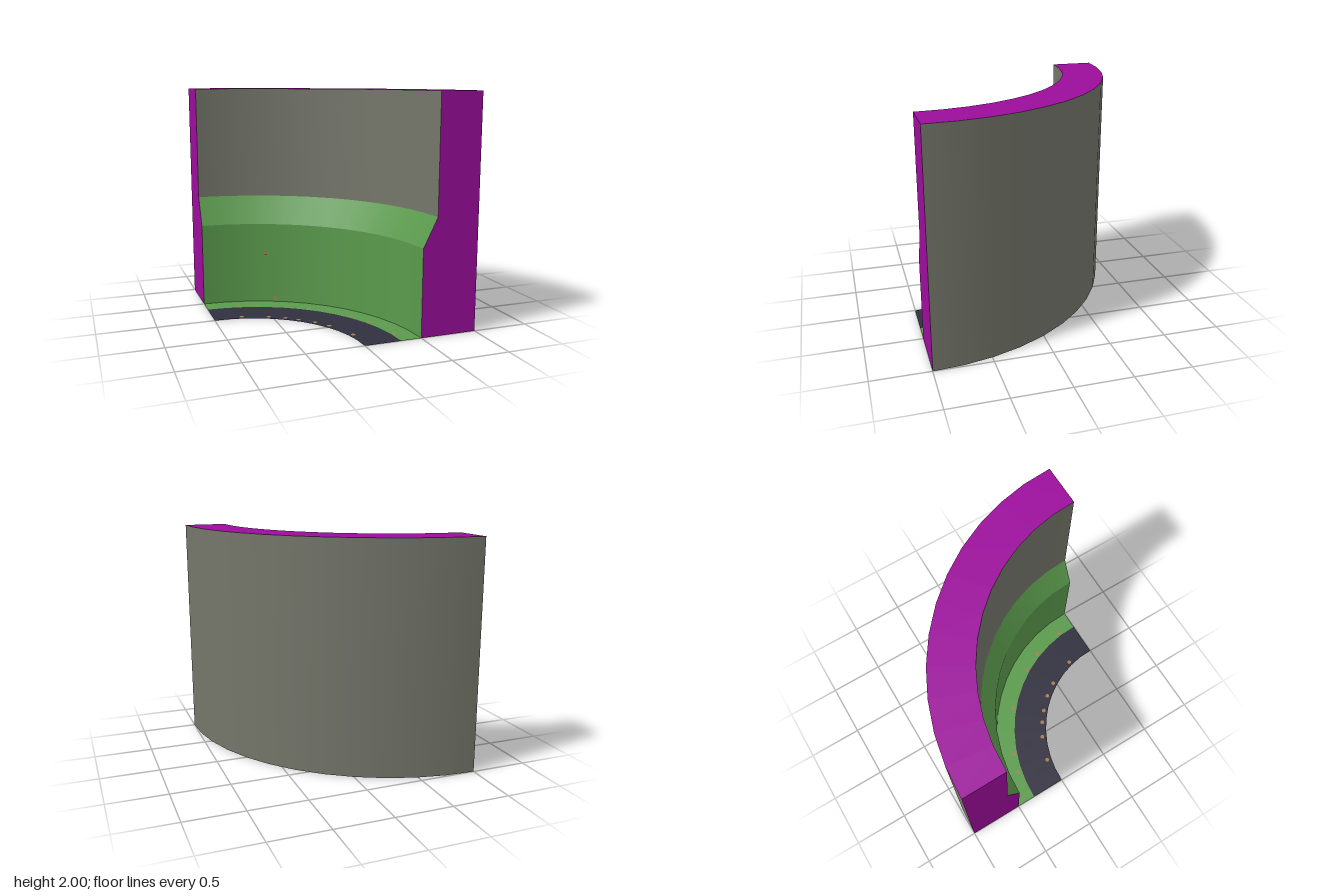
import * as THREE from 'three';

const mat = (name, color, side = THREE.FrontSide) => {
  const m = new THREE.MeshStandardMaterial({ color, side });
  m.name = name;
  return m;
};

export function createModel() {
  const group = new THREE.Group();
  const grey = mat('stone grey', 0x74766a);
  const purple = mat('cut purple', 0x9c0d9c);
  const green = mat('slime green', 0x5a9a4c, THREE.DoubleSide);
  const dark = mat('dark water', 0x302f3e, THREE.DoubleSide);
  const brown = mat('speck brown', 0xa67c52);

  const add = (name, geometry, material) => {
    const mesh = new THREE.Mesh(geometry, material);
    mesh.name = name;
    group.add(mesh);
    return mesh;
  };

  // One quarter-turn band swept about the corner x = -1, z = 1
  const band = (name, material, r0, y0, r1, y1) => {
    const points = [new THREE.Vector2(r0, y0), new THREE.Vector2(r1, y1)];
    const geometry = new THREE.LatheGeometry(points, 12, Math.PI / 2, Math.PI / 2);
    add(name, geometry.translate(-1, 0, 1), material);
  };
  band('outerWall', grey, 2, 0, 2, 2);
  band('wallTop', purple, 2, 2, 1.625, 2);
  band('innerWall', grey, 1.625, 2, 1.625, 1);
  band('innerLedge', green, 1.625, 1, 1.5, 0.75);
  band('lowerInnerWall', green, 1.5, 0.75, 1.5, 0);
  band('wallBottom', purple, 1.5, 0, 2, 0);
  band('floorEdge', green, 1.5, 0, 1.32, 0);
  band('floor', dark, 1.32, 0, 1, 0);

  // Flat cut faces at both ends of the wall
  const section = [[1.5, 0], [2, 0], [2, 2], [1.625, 2], [1.625, 1], [1.5, 0.75]];
  const cap = (toX) =>
    new THREE.ShapeGeometry(new THREE.Shape(section.map(([r, y]) => new THREE.Vector2(toX(r), y))));
  add('frontEnd', cap((r) => r - 1).translate(0, 0, 1), purple);
  add('sideEnd', cap((r) => 1 - r).rotateY(-Math.PI / 2).translate(-1, 0, 0), purple);

  // Small specks on the floor
  const specks = [
    [-0.755, -0.015], [-0.53, 0.07], [-0.4, 0.15], [-0.305, 0.23], [-0.19, 0.345],
    [-0.105, 0.47], [0.005, 0.74], [-0.71, -0.325], [-0.535, -0.27], [-0.12, -0.03],
    [0.16, 0.315], [0.255, 0.5], [0.335, 0.825],
  ];
  for (const [x, z] of specks) {
    add('floorSpeck', new THREE.CircleGeometry(0.02, 8).rotateX(-Math.PI / 2).translate(x, 0.003, z), brown);
  }

  // Specks on the lower inner wall, turned to face the corner
  for (const [x, y] of [[-0.43, 0.475], [-0.355, 0.04]]) {
    const a = Math.asin((x + 1) / 1.485);
    const speck = add('wallSpeck', new THREE.CircleGeometry(0.02, 8), brown);
    speck.position.set(x, y, 1 - 1.485 * Math.cos(a));
    speck.rotation.y = -a;
  }
  return group;
}
